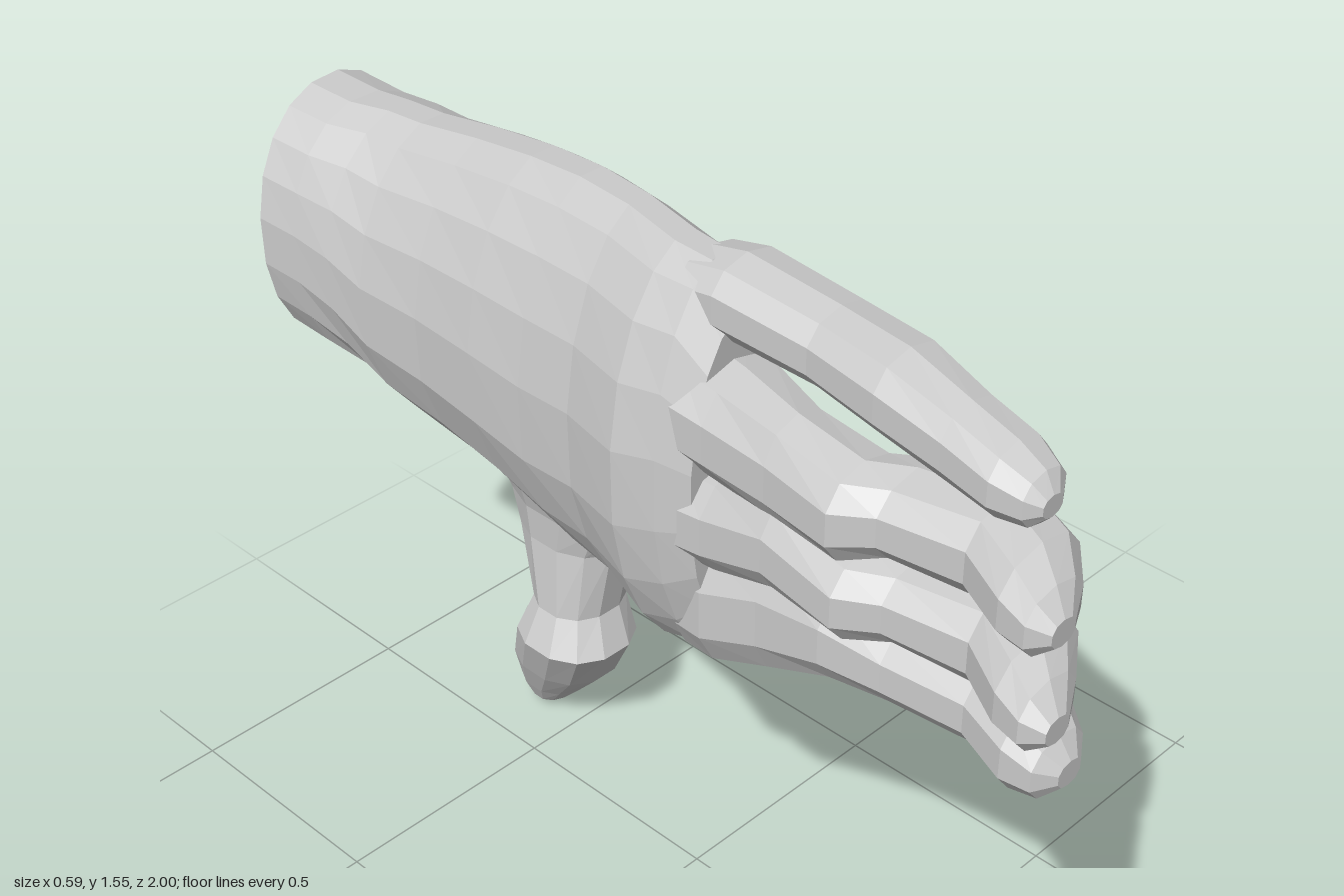
import * as THREE from 'three';

const material = new THREE.MeshStandardMaterial({ color: 0xcccccc, flatShading: true, side: THREE.DoubleSide });

// Joins rings of points into a faceted skin and closes the far end.
function skin(name, rings) {
  const n = rings[0].length, pos = [], idx = [];
  rings.forEach(r => r.forEach(p => pos.push(...p)));
  for (let i = 0; i < rings.length - 1; i++) {
    for (let j = 0; j < n; j++) {
      const a = i * n + j, b = i * n + (j + 1) % n;
      idx.push(a, b, b + n, a, b + n, a + n);
    }
  }
  const last = rings[rings.length - 1], base = (rings.length - 1) * n;
  pos.push(...[0, 1, 2].map(k => last.reduce((s, p) => s + p[k], 0) / n));
  for (let j = 0; j < n; j++) idx.push(base + j, base + (j + 1) % n, rings.length * n);
  const g = new THREE.BufferGeometry();
  g.setAttribute('position', new THREE.Float32BufferAttribute(pos, 3));
  g.setIndex(idx);
  g.computeVertexNormals();
  const mesh = new THREE.Mesh(g, material);
  mesh.name = name;
  return mesh;
}

// Slightly squared oval as unit [cos, sin] pairs; backPower rounds the -x side separately.
function oval(n, power, backPower = power) {
  const sq = (v, p) => Math.sign(v) * Math.abs(v) ** p;
  return Array.from({ length: n }, (_, j) => {
    const a = (j + 0.5) / n * Math.PI * 2, c = Math.cos(a);
    return [sq(c, c < 0 ? backPower : power), sq(Math.sin(a), power)];
  });
}

// Wrist and palm: z, bottom, top, back (-x), palm side (+x), shift of lower edge, palm hollow, thumb-base bulge
function palm() {
  const stations = [
    [-0.975, 0.91, 1.46, -0.24, 0.17, 0, 0, 0],
    [-0.86, 0.895, 1.455, -0.23, 0.17, 0, 0, 0],
    [-0.77, 0.85, 1.46, -0.225, 0.18, 0.03, 0, 0.03],
    [-0.68, 0.765, 1.465, -0.22, 0.18, 0.09, 0.01, 0.08],
    [-0.52, 0.73, 1.49, -0.22, 0.18, 0.1, 0.02, 0.13],
    [-0.36, 0.69, 1.515, -0.23, 0.17, 0.12, 0.04, 0.12],
    [-0.22, 0.65, 1.53, -0.235, 0.15, 0.11, 0.05, 0.08],
    [-0.08, 0.67, 1.535, -0.245, 0.12, 0.07, 0.055, 0.02],
    [0.07, 0.69, 1.54, -0.285, 0.08, 0.02, 0.05, 0],
    [0.16, 0.73, 1.54, -0.27, 0.05, 0, 0.03, 0],
    [0.22, 0.8, 1.46, -0.24, 0.0, 0, 0.02, 0],
  ];
  const rings = stations.map(([z, y0, y1, x0, x1, shift, dent, bulge], i) =>
    oval(20, 0.92, i < 2 ? 0.95 : 1.2).map(([c, s]) => {
      const y = (y0 + y1) / 2 + s * (y1 - y0) / 2;
      let x = (x0 + x1) / 2 + c * (x1 - x0) / 2;
      if (s < 0) x += shift * s * s;
      if (c > 0) {
        x -= dent * c * c;
        x += bulge * THREE.MathUtils.clamp((1.2 - y) / 0.36, 0, 1) * Math.min(1, c * 1.6);
      }
      return [x, y, i ? z : z - 0.12 * (x + 0.03)];
    }));
  return skin('palm', rings);
}

// Fingers run along +z: z, centre x, centre y, half depth, half height
const fingers = {
  littleFinger: [
    [0.12, -0.09, 1.465, 0.085, 0.07], [0.2, -0.085, 1.475, 0.09, 0.075], [0.4, -0.08, 1.46, 0.085, 0.07],
    [0.56, -0.10, 1.455, 0.09, 0.075], [0.7, -0.12, 1.435, 0.075, 0.07],
    [0.8, -0.13, 1.42, 0.075, 0.064], [0.86, -0.14, 1.415, 0.055, 0.048], [0.885, -0.15, 1.415, 0.025, 0.02],
  ],
  ringFinger: [
    [0.17, -0.13, 1.275, 0.12, 0.105], [0.25, -0.14, 1.27, 0.11, 0.105], [0.4, -0.175, 1.27, 0.085, 0.10],
    [0.55, -0.185, 1.265, 0.095, 0.09], [0.62, -0.14, 1.275, 0.10, 0.078], [0.78, -0.12, 1.28, 0.10, 0.085],
    [0.88, -0.16, 1.27, 0.105, 0.082], [0.94, -0.20, 1.265, 0.075, 0.06], [0.975, -0.22, 1.265, 0.03, 0.025],
  ],
  middleFinger: [
    [0.17, -0.13, 1.075, 0.125, 0.105], [0.25, -0.14, 1.085, 0.115, 0.105], [0.4, -0.175, 1.13, 0.09, 0.095],
    [0.57, -0.185, 1.115, 0.10, 0.085], [0.64, -0.14, 1.115, 0.10, 0.078], [0.8, -0.12, 1.115, 0.10, 0.087],
    [0.9, -0.17, 1.11, 0.11, 0.083], [0.96, -0.22, 1.105, 0.075, 0.062], [1.0, -0.245, 1.105, 0.03, 0.025],
  ],
  indexFinger: [
    [0.14, -0.11, 0.87, 0.10, 0.135], [0.22, -0.115, 0.885, 0.11, 0.14], [0.35, -0.12, 0.935, 0.10, 0.135],
    [0.5, -0.13, 0.975, 0.10, 0.10], [0.62, -0.12, 0.965, 0.09, 0.08], [0.78, -0.10, 0.96, 0.09, 0.08],
    [0.88, -0.125, 0.945, 0.095, 0.085], [0.94, -0.145, 0.94, 0.07, 0.058], [0.97, -0.15, 0.94, 0.03, 0.025],
  ],
};

function finger(name, stations) {
  return skin(name, stations.map(([z, x, y, rx, ry]) =>
    oval(10, 0.88).map(([c, s]) => [x + c * rx, y + s * ry, z])));
}

// Thumb runs down -y out of the palm: y, back x, palm x, rear z, front z
function thumb() {
  const stations = [
    [0.83, 0.08, 0.285, -0.74, -0.22],
    [0.75, 0.03, 0.305, -0.73, -0.22],
    [0.66, 0.03, 0.295, -0.685, -0.265],
    [0.61, 0.045, 0.28, -0.66, -0.32],
    [0.53, 0.05, 0.26, -0.63, -0.365],
    [0.37, 0.035, 0.23, -0.57, -0.385],
    [0.29, -0.005, 0.235, -0.60, -0.345],
    [0.16, 0.045, 0.255, -0.665, -0.425],
    [0.07, 0.085, 0.25, -0.675, -0.51],
    [0.02, 0.11, 0.22, -0.65, -0.56],
    [0.0, 0.14, 0.19, -0.625, -0.59],
  ];
  return skin('thumb', stations.map(([y, x0, x1, z0, z1]) =>
    oval(12, 0.9).map(([c, s]) =>
      [(x0 + x1) / 2 + c * (x1 - x0) / 2, y, (z0 + z1) / 2 + s * (z1 - z0) / 2])));
}

export function createModel() {
  const hand = new THREE.Group();
  hand.name = 'hand';
  hand.add(palm(), thumb());
  for (const [name, stations] of Object.entries(fingers)) hand.add(finger(name, stations));
  return hand;
}
